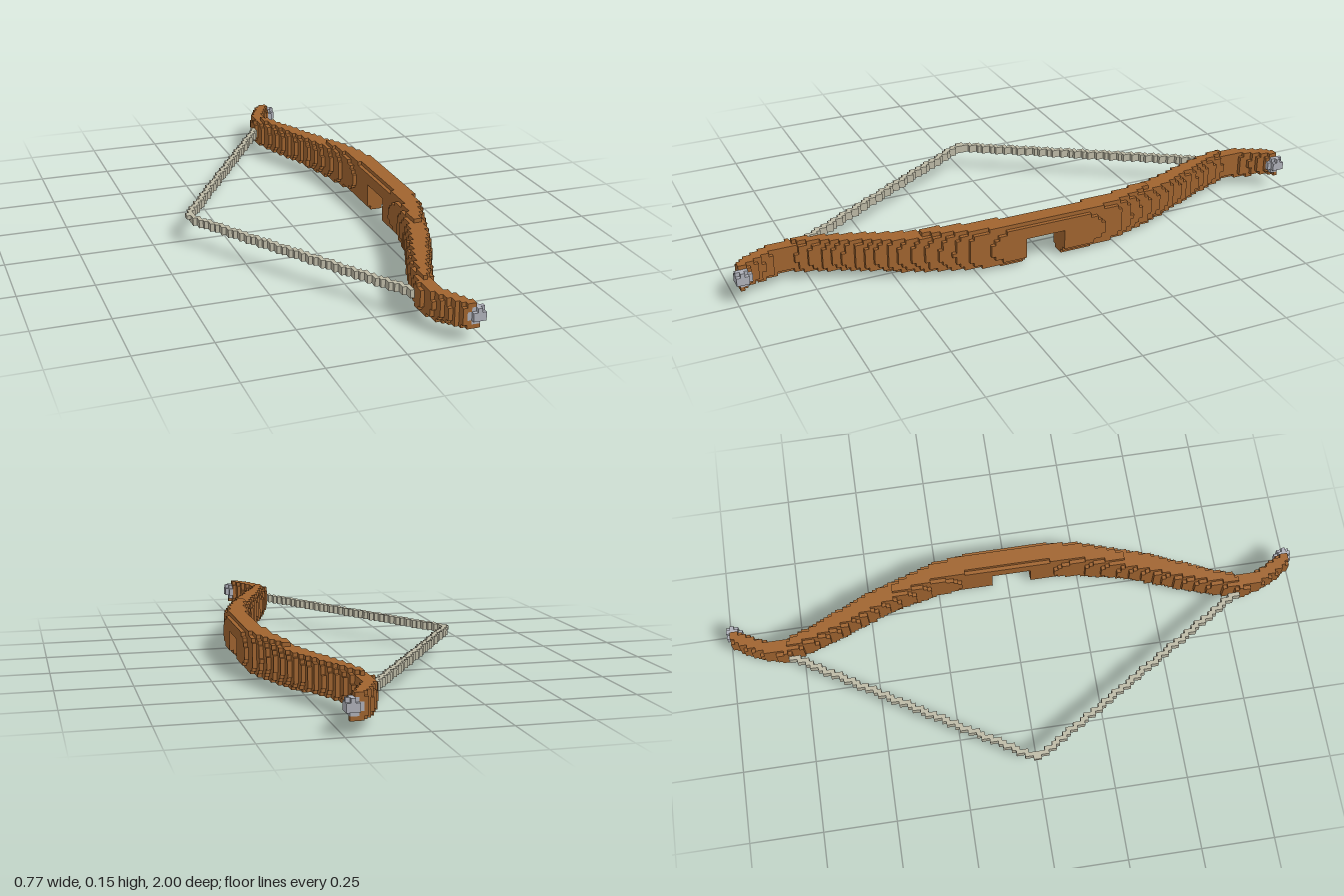
import * as THREE from 'three';

const V = 2 / 146;                       // cell size
const NX = 56, NY = 11, NZ = 146;        // cells along each axis
const X0 = -NX * V / 2;

// Limb outline: |z|, inner x, outer x, half height
const PROFILE = [
  [0.00, 0.298, 0.385, 0.0750], [0.15, 0.296, 0.383, 0.0740], [0.25, 0.285, 0.372, 0.0705],
  [0.40, 0.250, 0.325, 0.0645], [0.50, 0.213, 0.292, 0.0600], [0.60, 0.172, 0.250, 0.0565],
  [0.70, 0.140, 0.205, 0.0530], [0.80, 0.110, 0.167, 0.0500], [0.85, 0.118, 0.168, 0.0480],
  [0.90, 0.135, 0.187, 0.0465], [0.95, 0.162, 0.215, 0.0440], [1.00, 0.195, 0.245, 0.0420],
];

function limbAt(az) {
  let i = 0;
  while (i < PROFILE.length - 2 && PROFILE[i + 1][0] < az) i++;
  const a = PROFILE[i], b = PROFILE[i + 1], t = (az - a[0]) / (b[0] - a[0]);
  return [1, 2, 3].map((k) => a[k] + (b[k] - a[k]) * t);
}

// Rounded bow limbs with the arrow rest cut out of the grip
function isWood(x, y, z) {
  if (z > -0.06 && z < 0.08 && y < 7 * V) return false;
  if (Math.abs(z) > 0.99) return false;
  const [inner, outer, h] = limbAt(Math.abs(z));
  const dx = (x - (inner + outer) / 2) / ((outer - inner) / 2);
  const dy = (y - 0.08) / h;
  return dx ** 4 + dy ** 2 <= 1;
}

// Small metal knobs at both ends
function isTip(x, y, z) {
  return Math.hypot(x - 0.222, y - 0.083, Math.abs(z) - 0.977) < 0.027;
}

// Drawn string, running from each limb to the nock point
function isString(x, y, z) {
  if (y < 5 * V || y > 7 * V || x > 0.125) return false;
  if (x < X0 + V && y < 6 * V) return false;
  const ax = -0.378, dx = 0.12 - ax, dz = 0.80, len = Math.hypot(dx, dz);
  const off = Math.abs((x - ax) * dz - Math.abs(z) * dx) / len;
  return off < 0.0095 && Math.abs(z) < 0.81;
}

// Builds only the outward faces of the cells chosen by a test
function cellGeometry(test) {
  const filled = new Set();
  const key = (i, j, k) => (i + 1) + (j + 1) * 100 + (k + 1) * 10000;
  const cells = [];
  for (let k = 0; k < NZ; k++) for (let j = 0; j < NY; j++) for (let i = 0; i < NX; i++) {
    if (test(X0 + (i + 0.5) * V, (j + 0.5) * V, -1 + (k + 0.5) * V)) {
      filled.add(key(i, j, k));
      cells.push([i, j, k]);
    }
  }
  const pos = [], nor = [], index = [];
  for (const c of cells) for (let axis = 0; axis < 3; axis++) for (const s of [-1, 1]) {
    const n = [0, 0, 0];
    n[axis] = s;
    if (filled.has(key(c[0] + n[0], c[1] + n[1], c[2] + n[2]))) continue;
    const u = (axis + 1) % 3, v = (axis + 2) % 3, base = pos.length / 3;
    for (const [a, b] of [[0, 0], [1, 0], [1, 1], [0, 1]]) {
      const p = [...c];
      p[axis] += s > 0 ? 1 : 0;
      p[u] += a;
      p[v] += b;
      pos.push(X0 + p[0] * V, p[1] * V, -1 + p[2] * V);
      nor.push(...n);
    }
    const order = s > 0 ? [0, 1, 2, 0, 2, 3] : [0, 2, 1, 0, 3, 2];
    index.push(...order.map((o) => base + o));
  }
  const g = new THREE.BufferGeometry();
  g.setAttribute('position', new THREE.Float32BufferAttribute(pos, 3));
  g.setAttribute('normal', new THREE.Float32BufferAttribute(nor, 3));
  g.setIndex(index);
  return g;
}

export function createModel() {
  const group = new THREE.Group();
  group.name = 'bow';
  const add = (name, material, color, test) => {
    const mat = new THREE.MeshStandardMaterial({ color });
    mat.name = material;
    const mesh = new THREE.Mesh(cellGeometry(test), mat);
    mesh.name = name;
    group.add(mesh);
  };
  add('bowLimbs', 'wood', 0xa0642f, (x, y, z) => isWood(x, y, z) && !isTip(x, y, z));
  add('limbTips', 'metal', 0xafb1ba, isTip);
  add('bowString', 'string', 0xbdbaa6, (x, y, z) => isString(x, y, z) && !isWood(x, y, z));
  return group;
}
